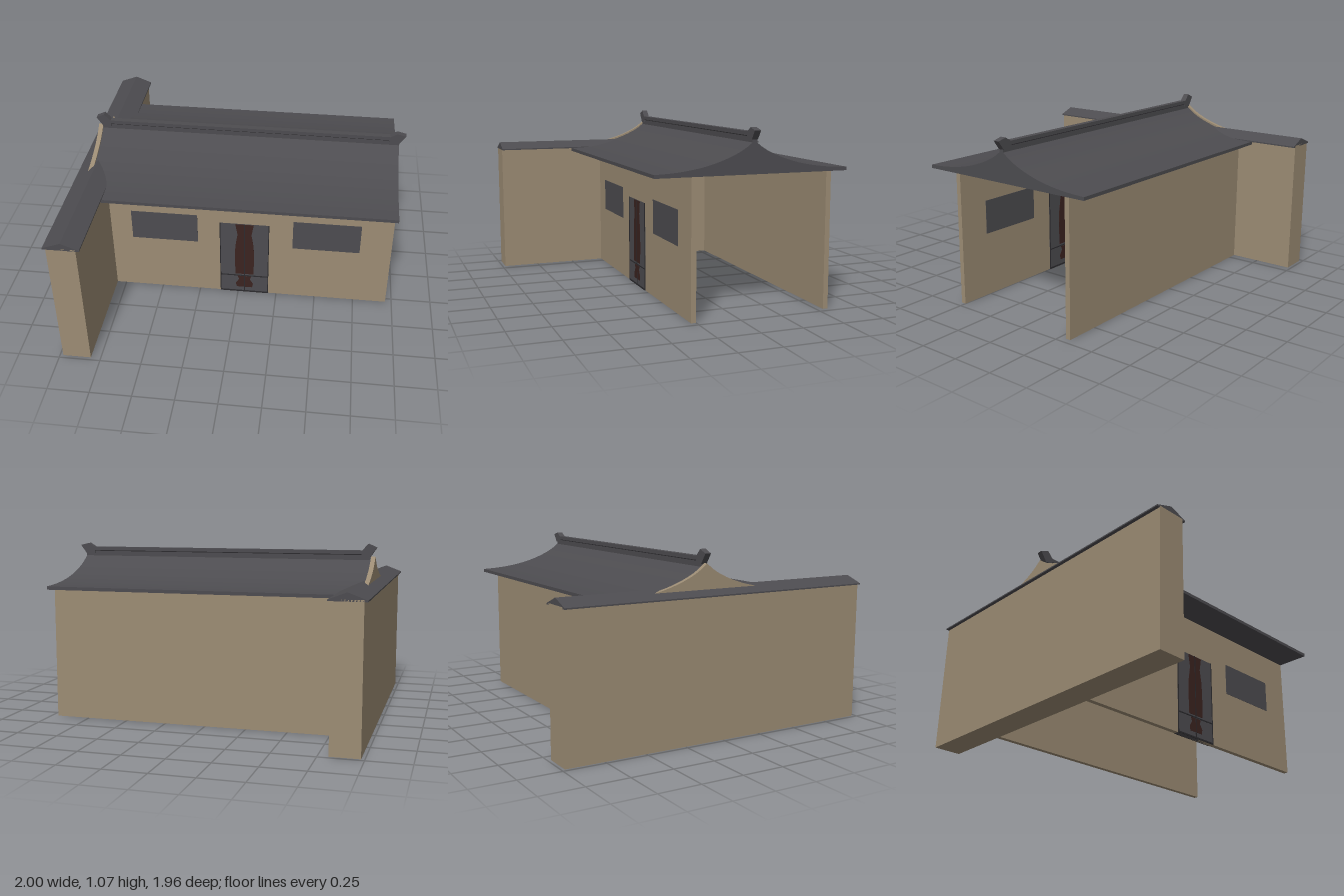
import * as THREE from 'three';

const mat = (name, color) => Object.assign(new THREE.MeshStandardMaterial({ color }), { name });

export function createModel() {
  const house = new THREE.Group();
  house.name = 'courtyardHouse';
  const plaster = mat('tan plaster', 0x9c8c74);
  const tile = mat('grey tile', 0x4d4c50);
  const seam = mat('dark seam', 0x2c2b2e);
  const wood = mat('dark red wood', 0x3b2320);

  const add = (name, geometry, material) => {
    const mesh = new THREE.Mesh(geometry, material);
    mesh.name = name;
    house.add(mesh);
    return mesh;
  };
  // Box given by its limits on each axis
  const box = (name, material, [x0, x1], [y0, y1], [z0, z1]) => {
    const g = new THREE.BoxGeometry(x1 - x0, y1 - y0, z1 - z0);
    g.translate((x0 + x1) / 2, (y0 + y1) / 2, (z0 + z1) / 2);
    return add(name, g, material);
  };
  const shapeOf = pts => new THREE.Shape(pts.map(p => new THREE.Vector2(...p)));
  const extrude = (pts, depth) =>
    new THREE.ExtrudeGeometry(shapeOf(pts), { depth, bevelEnabled: false });
  // (x, y) outline extruded along z
  const alongZ = (name, material, pts, z0, z1) =>
    add(name, extrude(pts, z1 - z0).translate(0, 0, z0), material);
  // (z, y) outline extruded along x
  const alongX = (name, material, pts, x0, x1) =>
    add(name, extrude(pts.map(([z, y]) => [-z, y]), x1 - x0)
      .rotateY(Math.PI / 2).translate(x0, 0, 0), material);

  // Walls: long courtyard wall, front wall and back wall; the left end stays open
  box('sideWall', plaster, [-0.98, -0.81], [0, 0.83], [-0.98, 0.98]);
  box('frontWall', plaster, [-0.82, 0.96], [0, 0.805], [0.25, 0.28]);
  box('backWall', plaster, [-0.82, 0.96], [0, 0.805], [-0.57, -0.54]);

  // Ridged coping on the courtyard wall
  alongZ('sideWallCoping', tile,
    [[-1, 0.82], [-0.79, 0.82], [-0.79, 0.828], [-0.893, 0.868], [-1, 0.828]], -0.98, 0.98);

  // Concave main roof, the same sweep mirrored about the ridge
  const ridgeZ = -0.09;
  const sweep = new THREE.SplineCurve([
    [0, 0.985], [0.06, 0.94], [0.14, 0.9], [0.24, 0.865], [0.34, 0.842], [0.46, 0.826], [0.58, 0.82],
  ].map(p => new THREE.Vector2(...p))).getPoints(16);
  const roofOutline = (reach, base, lift) => {
    const half = sweep.filter(p => p.x <= reach).map(p => [p.x, p.y + lift]);
    const end = half[half.length - 1][0];
    const right = half.map(([d, y]) => [ridgeZ + d, y]);
    const left = half.slice(1).reverse().map(([d, y]) => [ridgeZ - d, y]);
    return [[ridgeZ - end, base], ...left, ...right, [ridgeZ + end, base]];
  };
  alongX('mainRoof', tile, roofOutline(0.59, 0.8, 0), -0.905, 0.96);
  alongX('gableTrim', plaster, roofOutline(0.36, 0.81, 0.011), -0.932, -0.905);

  // Ridge beam with a wider top course and upturned ends
  box('ridgeBeam', tile, [-0.9, 0.96], [0.97, 1.005], [ridgeZ - 0.013, ridgeZ + 0.013]);
  box('ridgeGroove', seam, [-0.88, 0.94], [1.005, 1.01], [ridgeZ - 0.014, ridgeZ + 0.014]);
  box('ridgeTop', tile, [-0.88, 0.94], [1.01, 1.032], [ridgeZ - 0.018, ridgeZ + 0.018]);
  alongZ('ridgeHornRight', tile,
    [[-0.9, 0.99], [-0.85, 0.99], [-0.85, 1.03], [-0.89, 1.073], [-0.94, 1.05]],
    ridgeZ - 0.0185, ridgeZ + 0.0185);
  alongZ('ridgeHornLeft', tile,
    [[0.9, 0.99], [0.96, 0.99], [0.998, 1.042], [0.943, 1.056], [0.9, 1.03]],
    ridgeZ - 0.0185, ridgeZ + 0.0185);

  // Windows pass through the front wall and show on both faces
  for (const [name, x0, x1] of [['windowRight', -0.675, -0.255], ['windowLeft', 0.345, 0.765]])
    box(name, tile, [x0, x1], [0.39, 0.597], [0.248, 0.282]);

  // Door leaves with wooden centre panels and dark seams, on both faces
  const mid = 0.042;
  box('door', tile, [-0.115, 0.197], [0, 0.553], [0.248, 0.282]);
  const upper = [[0.058, 0.15], [0.062, 0.28], [0.058, 0.38], [0.044, 0.47], [0.058, 0.55]];
  const lower = [[0.05, 0.04], [0.056, 0.07], [0.034, 0.105], [0.044, 0.13]];
  const mirrored = half => [
    ...half.map(([d, y]) => [mid + d, y]),
    ...half.slice().reverse().map(([d, y]) => [mid - d, y]),
  ];
  for (const [side, z0, z1] of [['Outer', 0.282, 0.284], ['Inner', 0.246, 0.248]]) {
    alongZ('doorPanelUpper' + side, wood, mirrored(upper), z0, z1);
    alongZ('doorPanelLower' + side, wood, mirrored(lower), z0, z1);
    const s0 = z0 - 0.001, s1 = z1 + 0.001;
    box('doorSplit' + side, seam, [mid - 0.003, mid + 0.003], [0, 0.553], [s0, s1]);
    box('doorRail' + side, seam, [-0.115, 0.197], [0.133, 0.14], [s0, s1]);
    box('doorSill' + side, seam, [-0.115, 0.197], [0, 0.01], [s0, s1]);
    for (const x of [-0.115, 0.192])
      box('doorJamb' + side, seam, [x, x + 0.005], [0, 0.553], [s0, s1]);
  }
  return house;
}
